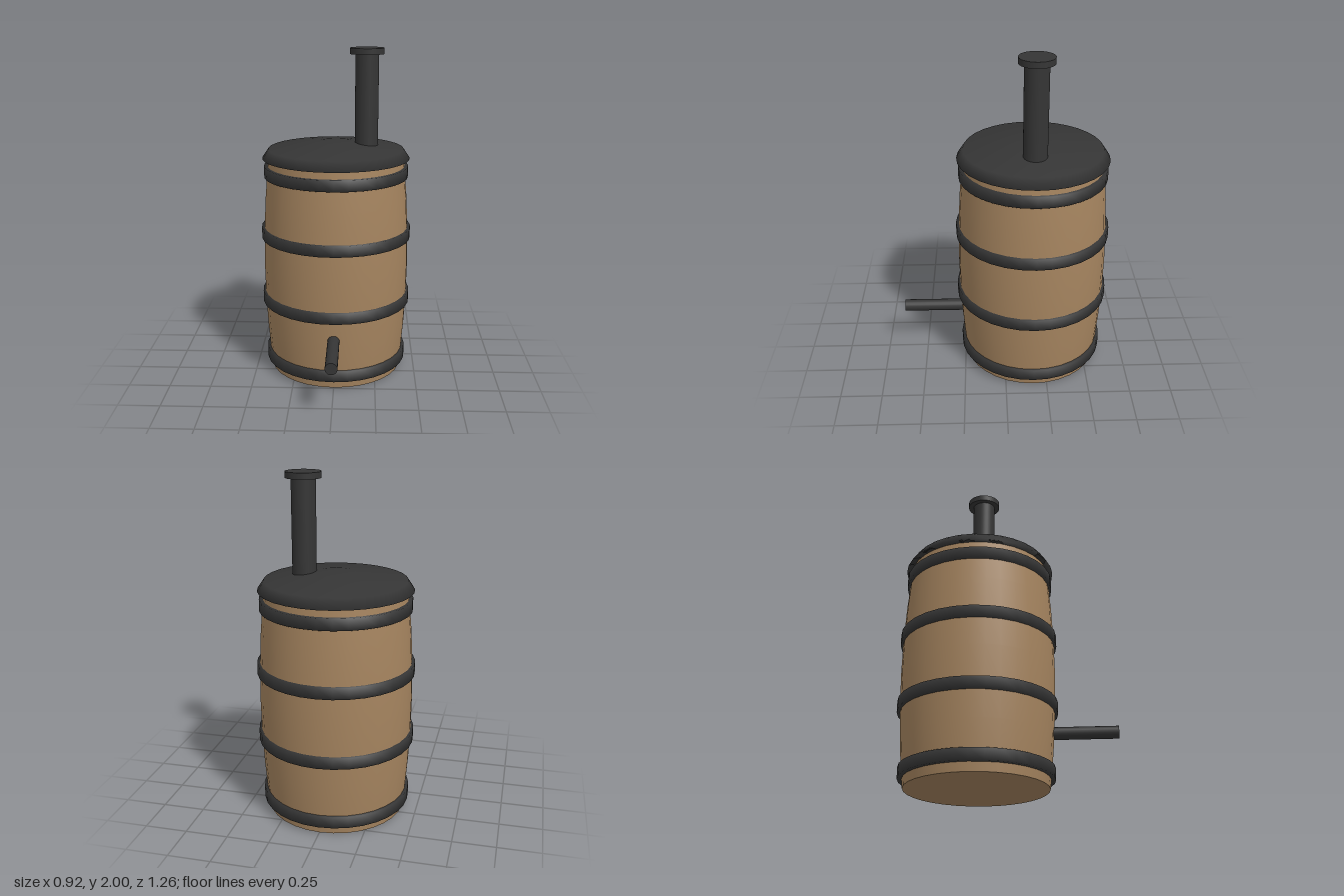
import * as THREE from 'three';

const SEGMENTS = 32;

export function createModel() {
  const wood = new THREE.MeshStandardMaterial({ color: 0xa5845f });
  wood.name = 'wood';
  const iron = new THREE.MeshStandardMaterial({ color: 0x353535 });
  iron.name = 'darkIron';

  const model = new THREE.Group();
  model.name = 'barrelStill';
  const barrel = new THREE.Group();
  barrel.name = 'barrel';
  barrel.position.z = -0.17;
  model.add(barrel);

  const add = (parent, name, geometry, material, x = 0, y = 0, z = 0) => {
    const mesh = new THREE.Mesh(geometry, material);
    mesh.name = name;
    mesh.position.set(x, y, z);
    parent.add(mesh);
    return mesh;
  };
  const lathe = (points) =>
    new THREE.LatheGeometry(points.map(([r, y]) => new THREE.Vector2(r, y)), SEGMENTS);

  // Bulging wooden body with a flat base
  add(barrel, 'barrelBody', lathe([
    [0.41, 0], [0.423, 0.12], [0.436, 0.28], [0.446, 0.48], [0.45, 0.69],
    [0.446, 0.9], [0.436, 1.1], [0.423, 1.25], [0.41, 1.39],
  ]), wood);
  const base = add(barrel, 'barrelBase', new THREE.CircleGeometry(0.41, SEGMENTS), wood);
  base.rotation.x = Math.PI / 2;

  // Four iron hoops, softly shaded across their edges
  [[0.085, 0.441], [0.467, 0.462], [0.882, 0.462], [1.263, 0.441]].forEach(([y, r], i) => {
    const h = 0.034;
    add(barrel, `hoop${i + 1}`, lathe([
      [r - 0.04, -h], [r, -h], [r, h], [r - 0.04, h],
    ]), iron, 0, y);
  });

  // Sloped lid with a flared rim
  add(barrel, 'lid', lathe([
    [0.4, 1.343], [0.45, 1.343], [0.412, 1.4], [0.11, 1.44], [0, 1.44],
  ]), iron);
  const under = add(barrel, 'lidUnderside', new THREE.CircleGeometry(0.45, SEGMENTS), iron, 0, 1.343);
  under.rotation.x = Math.PI / 2;

  // Chimney pipe with its cap
  add(barrel, 'chimney', new THREE.CylinderGeometry(0.07, 0.07, 0.58, SEGMENTS), iron, 0.185, 1.69);
  add(barrel, 'chimneyCap', new THREE.CylinderGeometry(0.102, 0.102, 0.036, SEGMENTS), iron, 0.185, 1.982);

  // Spout low on the front
  const spout = add(model, 'spout', new THREE.CylinderGeometry(0.036, 0.036, 0.45, 20), iron, 0, 0.315, 0.405);
  spout.rotation.x = Math.PI / 2;

  return model;
}
